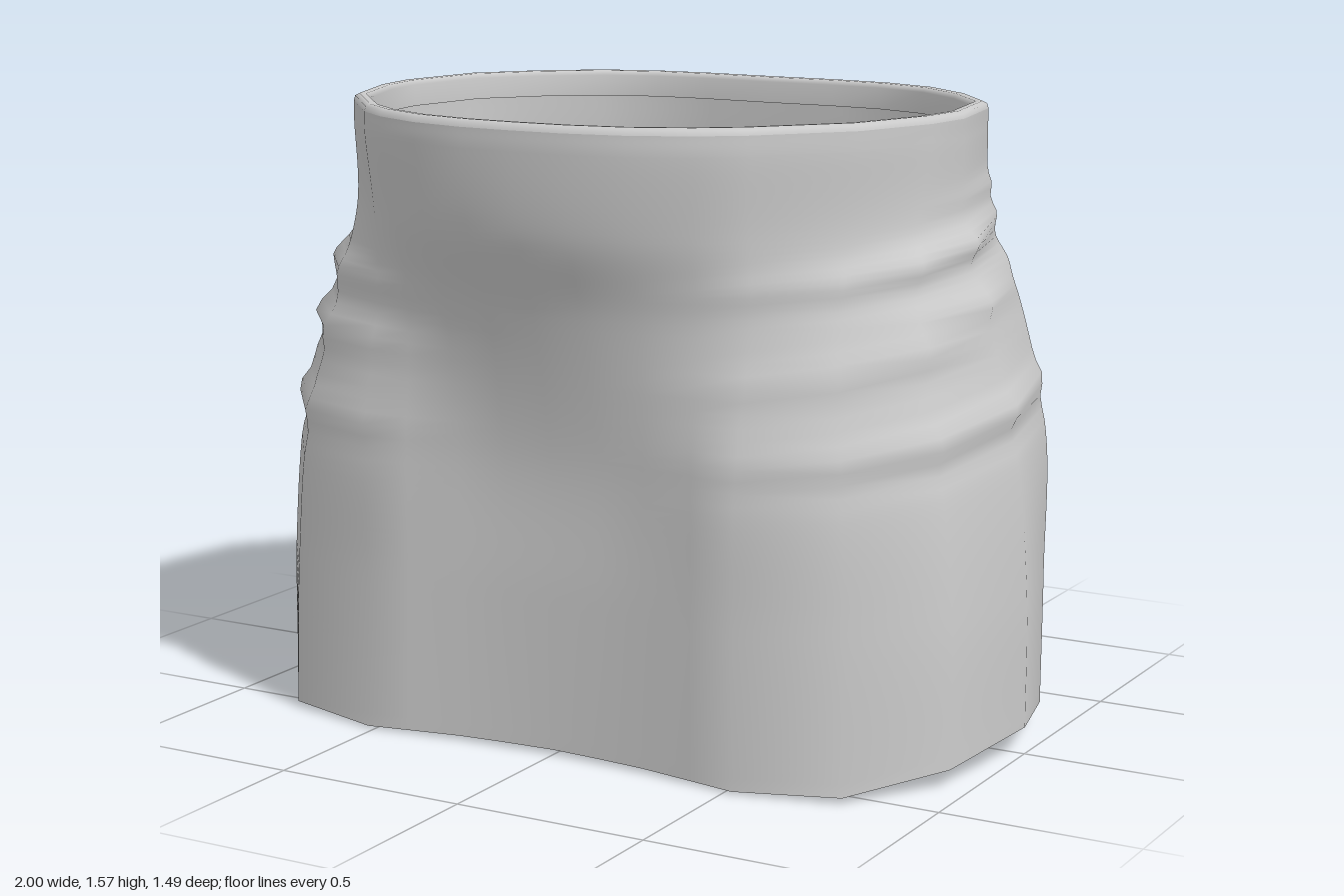
import * as THREE from 'three';

// Half cross-sections [x, z] running from centre front round the left side to centre back
const hem = [[0, .575], [.13, .58], [.26, .588], [.4, .605], [.52, .62], [.78, .56], [.95, .33],
  [1, 0], [.93, -.26], [.76, -.46], [.57, -.57], [.4, -.62], [.23, -.65], [0, -.645]];
const hip = [[0, .58], [.13, .58], [.26, .585], [.4, .603], [.52, .612], [.75, .53], [.91, .32],
  [.962, 0], [.92, -.28], [.76, -.52], [.57, -.65], [.4, -.715], [.23, -.742], [0, -.715]];
const belly = [[0, .65], [.13, .645], [.27, .62], [.4, .585], [.52, .54], [.70, .45], [.83, .28],
  [.885, .02], [.85, -.25], [.70, -.46], [.53, -.57], [.37, -.635], [.22, -.655], [0, -.65]];
const upper = [[0, .72], [.14, .715], [.28, .68], [.41, .62], [.52, .55], [.69, .38], [.78, .2],
  [.82, .02], [.77, -.25], [.65, -.42], [.5, -.52], [.36, -.57], [.2, -.59], [0, -.587]];
const waist = [[0, .745], [.14, .74], [.29, .71], [.43, .645], [.53, .57], [.71, .36], [.79, .14],
  [.808, 0], [.76, -.25], [.64, -.4], [.5, -.51], [.35, -.56], [.2, -.573], [0, -.57]];

const thigh = hem.map(([x, z], i) => [x * .997, z * .45 + hip[i][1] * .55]);
const hemHeight = z => .07 - .068 * Math.pow(Math.min(1, Math.abs(z) / .65), 1.6);

// Cloth folds: side, height at z = 0, rise per unit z, centre z, reach in z, depth, thickness
const folds = [
  [-1, 1.17, -.10, .05, .40, .035, .035],
  [-1, 1.03, -.10, .20, .35, .030, .030],
  [-1, .81, -.05, .10, .42, .035, .032],
  [-1, 1.30, .15, -.40, .25, .018, .030],
  [1, 1.26, -.15, .05, .38, .032, .032],
  [1, 1.12, -.28, .20, .36, .025, .032],
  [1, .86, -.12, .10, .42, .028, .032],
  [1, 1.37, .02, -.40, .22, .016, .025],
];

function addFolds(p) {
  let push = 0;
  for (const [side, y0, rise, zc, reach, depth, thick] of folds) {
    const sideFade = THREE.MathUtils.smoothstep(side * p.x, .25, .7);
    const along = Math.exp(-(((p.z - zc) / reach) ** 2));
    const d = (p.y - y0 - rise * p.z) / thick;
    push += depth * sideFade * along * (Math.exp(-d * d) - .3 * Math.exp(-((d + 2) ** 2)));
  }
  const r = Math.hypot(p.x, p.z);
  p.x += push * p.x / r;
  p.z += push * p.z / r;
  return p;
}

// Mirror a half section into a closed ring
const ring = half => [...half, ...half.slice(1, -1).reverse().map(([x, z]) => [-x, z])];

// Skin a list of rows of points, each row closed on itself
function skin(rows) {
  const n = rows[0].length, pos = [], idx = [];
  rows.forEach(row => row.forEach(p => pos.push(p.x, p.y, p.z)));
  for (let r = 0; r < rows.length - 1; r++) {
    for (let i = 0; i < n; i++) {
      const a = r * n + i, b = r * n + (i + 1) % n;
      idx.push(a, b, b + n, a, b + n, a + n);
    }
  }
  const g = new THREE.BufferGeometry();
  g.setAttribute('position', new THREE.Float32BufferAttribute(pos, 3));
  g.setIndex(idx);
  g.computeVertexNormals();
  return g;
}

export function createModel() {
  const group = new THREE.Group();
  group.name = 'skirt';
  const material = new THREE.MeshStandardMaterial({ color: 0xcccccc, side: THREE.DoubleSide });
  const add = (name, rows) => {
    const mesh = new THREE.Mesh(skin(rows), material);
    mesh.name = name;
    group.add(mesh);
  };

  // Body: one smooth vertical curve per column, sampled into rows
  const levels = [[hem, 0], [thigh, .4], [hip, .75], [belly, 1.1], [upper, 1.3], [waist, 1.5], [waist, 1.55]]
    .map(([half, y]) => [ring(half), y]);
  const columns = levels[0][0].map((_, i) => new THREE.CatmullRomCurve3(levels.map(([pts, y], k) =>
    new THREE.Vector3(pts[i][0], k === 0 ? hemHeight(pts[i][1]) : y, pts[i][1]))));
  const rowCount = 72;
  const rows = [];
  for (let r = 0; r <= rowCount; r++) rows.push(columns.map(c => addFolds(c.getPoint(r / rowCount))));
  add('skirtBody', rows);

  // Waistband: rolled top edge turning inward
  const rim = [[0, 1.55], [.004, 1.562], [.015, 1.568], [.032, 1.567], [.04, 1.555], [.04, 1.5]];
  add('waistbandEdge', rim.map(([inset, y]) => ring(waist).map(([x, z]) => {
    const dz = z - .085, r = Math.hypot(x, dz);
    return new THREE.Vector3(x * (1 - inset / r), y, .085 + dz * (1 - inset / r));
  })));

  return group;
}
